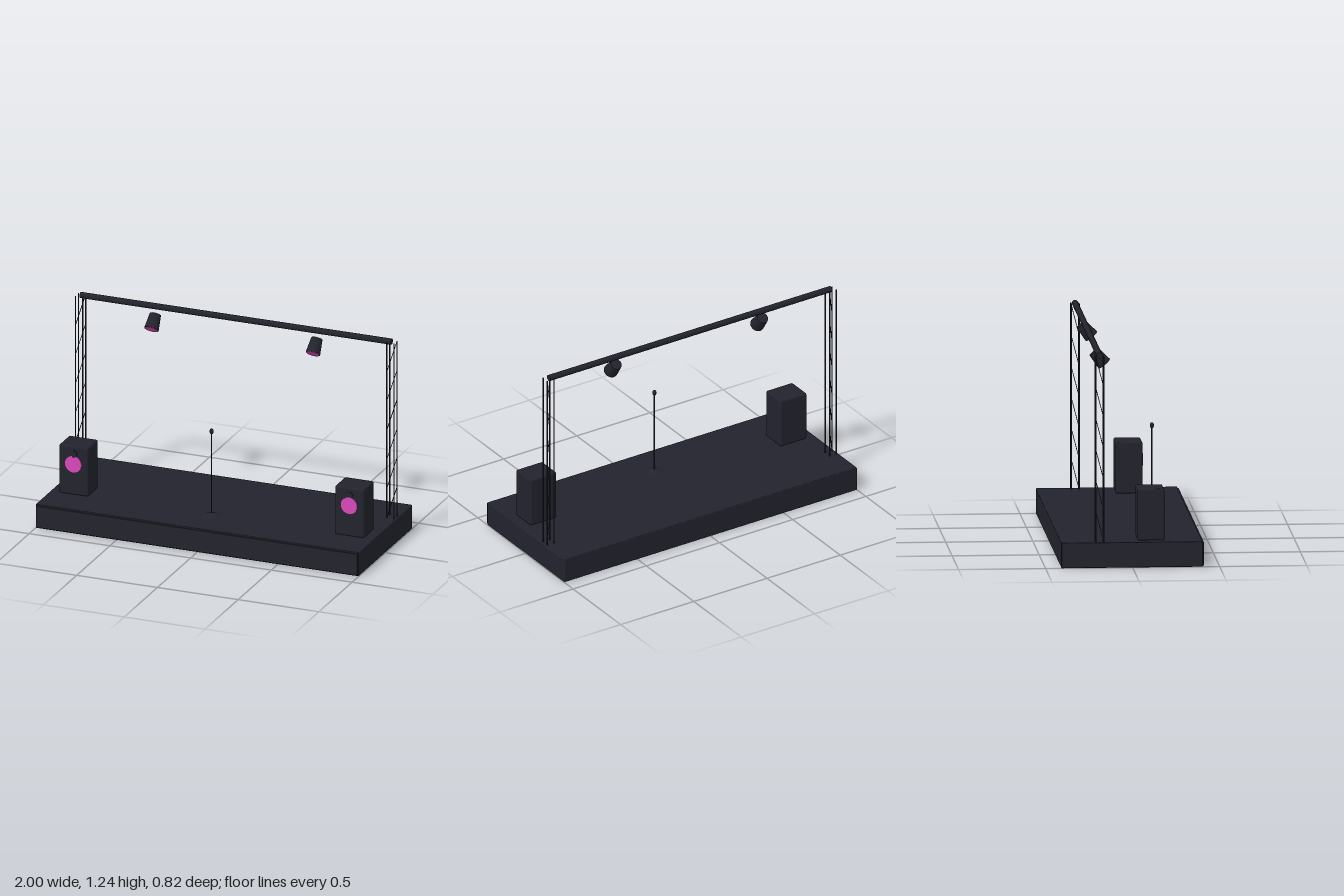
import * as THREE from 'three';
import { RoundedBoxGeometry } from 'three/addons/geometries/RoundedBoxGeometry.js';

const dark = new THREE.MeshStandardMaterial({ color: 0x23232e });
dark.name = 'charcoal';
const pink = new THREE.MeshStandardMaterial({ color: 0xd848ba });
pink.name = 'magenta';

const DECK = 0.147; // height of the stage floor
const UP = new THREE.Vector3(0, 1, 0);

function add(parent, name, geometry, material, x = 0, y = 0, z = 0) {
  const mesh = new THREE.Mesh(geometry, material);
  mesh.name = name;
  mesh.position.set(x, y, z);
  parent.add(mesh);
  return mesh;
}

// Round bar between two points
function addBar(parent, name, a, b, radius, sides = 8) {
  const dir = b.clone().sub(a);
  const bar = add(parent, name, new THREE.CylinderGeometry(radius, radius, dir.length(), sides), dark);
  bar.position.copy(a).add(b).multiplyScalar(0.5);
  bar.quaternion.setFromUnitVectors(UP, dir.normalize());
  return bar;
}

// Four posts laced by one rising brace per bay
function makeTower(x) {
  const tower = new THREE.Group();
  tower.name = 'trussTower';
  tower.position.set(x, 0, -0.187);
  const h = 0.0225, top = 1.223, bays = 6, step = (top - DECK) / bays;
  for (const px of [-h, h]) for (const pz of [-h, h]) {
    addBar(tower, 'towerPost', new THREE.Vector3(px, DECK, pz), new THREE.Vector3(px, top, pz), 0.004);
  }
  for (let i = 0; i < bays; i++) {
    const y = DECK + i * step;
    addBar(tower, 'towerBrace', new THREE.Vector3(-h, y, h), new THREE.Vector3(h, y + step, -h), 0.002, 6);
  }
  return tower;
}

function makeSpeaker(x) {
  const speaker = new THREE.Group();
  speaker.name = 'speaker';
  speaker.position.set(x, DECK, 0.11);
  add(speaker, 'speakerCabinet', new RoundedBoxGeometry(0.18, 0.298, 0.154, 3, 0.01), dark, 0, 0.149, 0);
  const woofer = add(speaker, 'woofer', new THREE.CylinderGeometry(0.051, 0.051, 0.008, 24), pink, 0, 0.19, 0.078);
  const tweeter = add(speaker, 'tweeter', new THREE.CylinderGeometry(0.022, 0.022, 0.008, 20), dark, 0, 0.252, 0.078);
  woofer.rotation.x = tweeter.rotation.x = Math.PI / 2;
  return speaker;
}

// Tapered lamp can aimed down toward the front
function makeSpotlight(x) {
  const lamp = new THREE.Group();
  lamp.name = 'spotlight';
  lamp.position.set(x, 1.14, -0.156);
  lamp.rotation.x = -0.7;
  add(lamp, 'lampCan', new THREE.CylinderGeometry(0.033, 0.0425, 0.092, 20), dark);
  add(lamp, 'lampLens', new THREE.CylinderGeometry(0.039, 0.039, 0.004, 20), pink, 0, -0.046, 0);
  return lamp;
}

function makeMicrophone() {
  const mic = new THREE.Group();
  mic.name = 'microphoneStand';
  mic.position.set(0, DECK, 0.184);
  add(mic, 'micBase', new THREE.CylinderGeometry(0.01, 0.057, 0.017, 20), dark, 0, 0.0085, 0);
  add(mic, 'micPole', new THREE.CylinderGeometry(0.004, 0.004, 0.5, 8), dark, 0, 0.26, 0);
  const head = add(mic, 'micHead', new THREE.SphereGeometry(0.012, 16, 12), dark, 0, 0.517, 0);
  head.scale.y = 1.45;
  return mic;
}

export function createModel() {
  const model = new THREE.Group();
  model.name = 'concertStage';

  // Platform and its front panel
  add(model, 'stagePlatform', new RoundedBoxGeometry(2, DECK, 0.812, 2, 0.005), dark, 0, DECK / 2, -0.003);
  add(model, 'stageFrontPanel', new THREE.BoxGeometry(1.99, 0.131, 0.01), dark, 0, 0.0725, 0.406);

  // Mirrored equipment
  for (const side of [-1, 1]) {
    model.add(makeTower(side * 0.964), makeSpeaker(side * 0.854), makeSpotlight(side * 0.5));
  }

  // Overhead lighting bar
  addBar(model, 'lightingBar', new THREE.Vector3(-0.963, 1.225, -0.187), new THREE.Vector3(0.963, 1.225, -0.187), 0.018, 12);

  model.add(makeMicrophone());
  return model;
}
